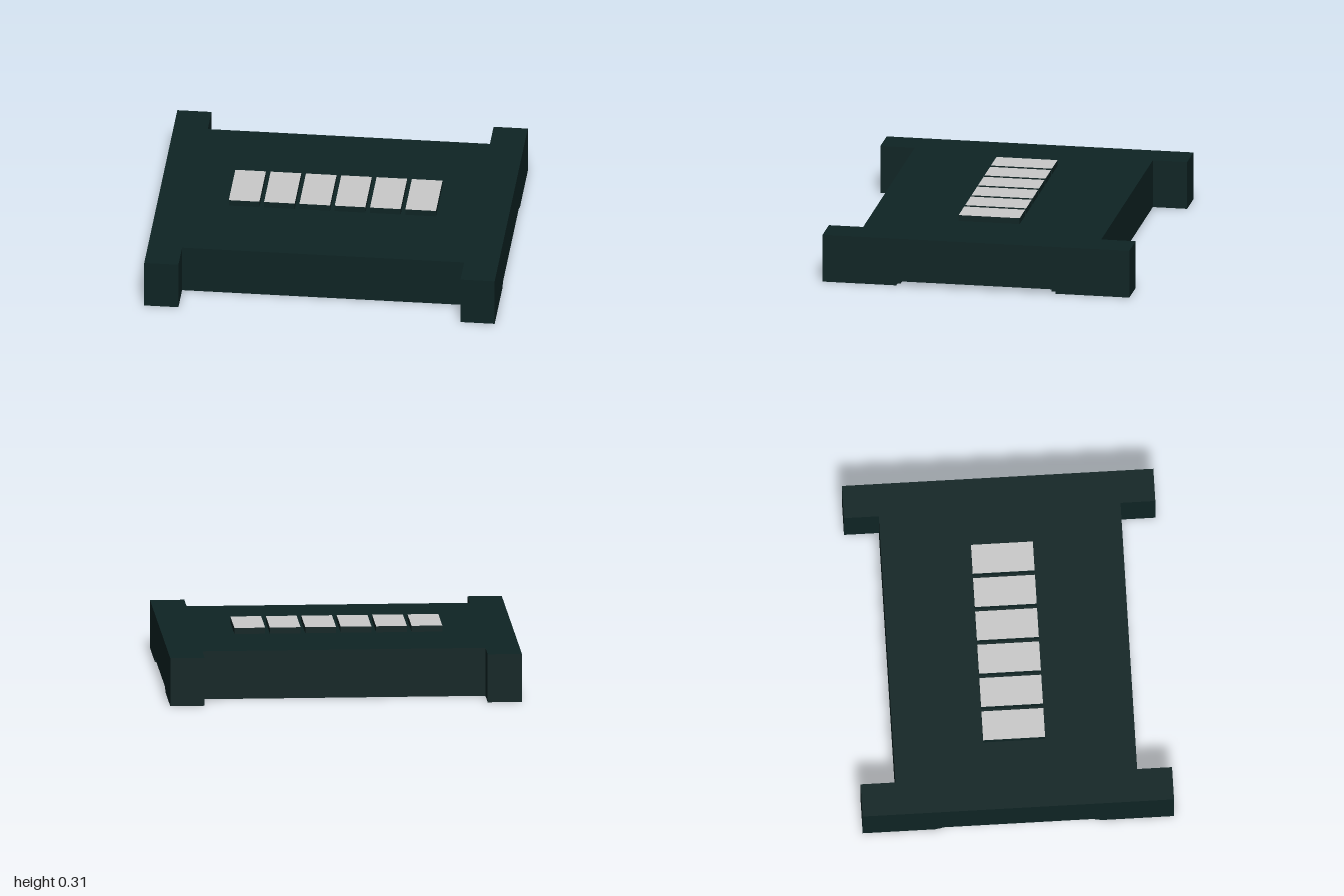
import * as THREE from 'three';

export function createModel() {
  const model = new THREE.Group();
  const dark = new THREE.MeshStandardMaterial({ color: 0x0e2424 });
  dark.name = 'dark teal';
  const light = new THREE.MeshStandardMaterial({ color: 0xcacaca });
  light.name = 'light grey';

  // Side profile with a stepped recess underneath, extruded along x
  const slab = (name, halfDepth, x0, x1) => {
    const half = [[halfDepth, 0.277], [halfDepth, 0], [0.46, 0], [0.46, 0.012], [0.435, 0.012], [0.435, 0.025]];
    const mirrored = half.map(([z, y]) => [-z, y]).reverse();
    const shape = new THREE.Shape([...half, ...mirrored].map(([z, y]) => new THREE.Vector2(z, y)));
    const geo = new THREE.ExtrudeGeometry(shape, { depth: x1 - x0, bevelEnabled: false });
    geo.rotateY(-Math.PI / 2).translate(x1, 0, 0);
    const mesh = new THREE.Mesh(geo, dark);
    mesh.name = name;
    model.add(mesh);
  };
  slab('body', 0.687, -0.805, 0.805);
  slab('rightRail', 0.885, -1, -0.805);
  slab('leftRail', 0.885, 0.805, 1);

  // Row of keys passing through the body, with light top faces
  const bottom = 0.018, top = 0.312;
  for (let i = 0; i < 6; i++) {
    const geo = new THREE.BoxGeometry(0.175, top - bottom, 0.352);
    const key = new THREE.Mesh(geo, [dark, dark, light, dark, dark, dark]);
    key.position.set((i - 2.5) * 0.2015 - 0.002, (top + bottom) / 2, 0);
    key.name = 'key' + (i + 1);
    model.add(key);
  }
  return model;
}
